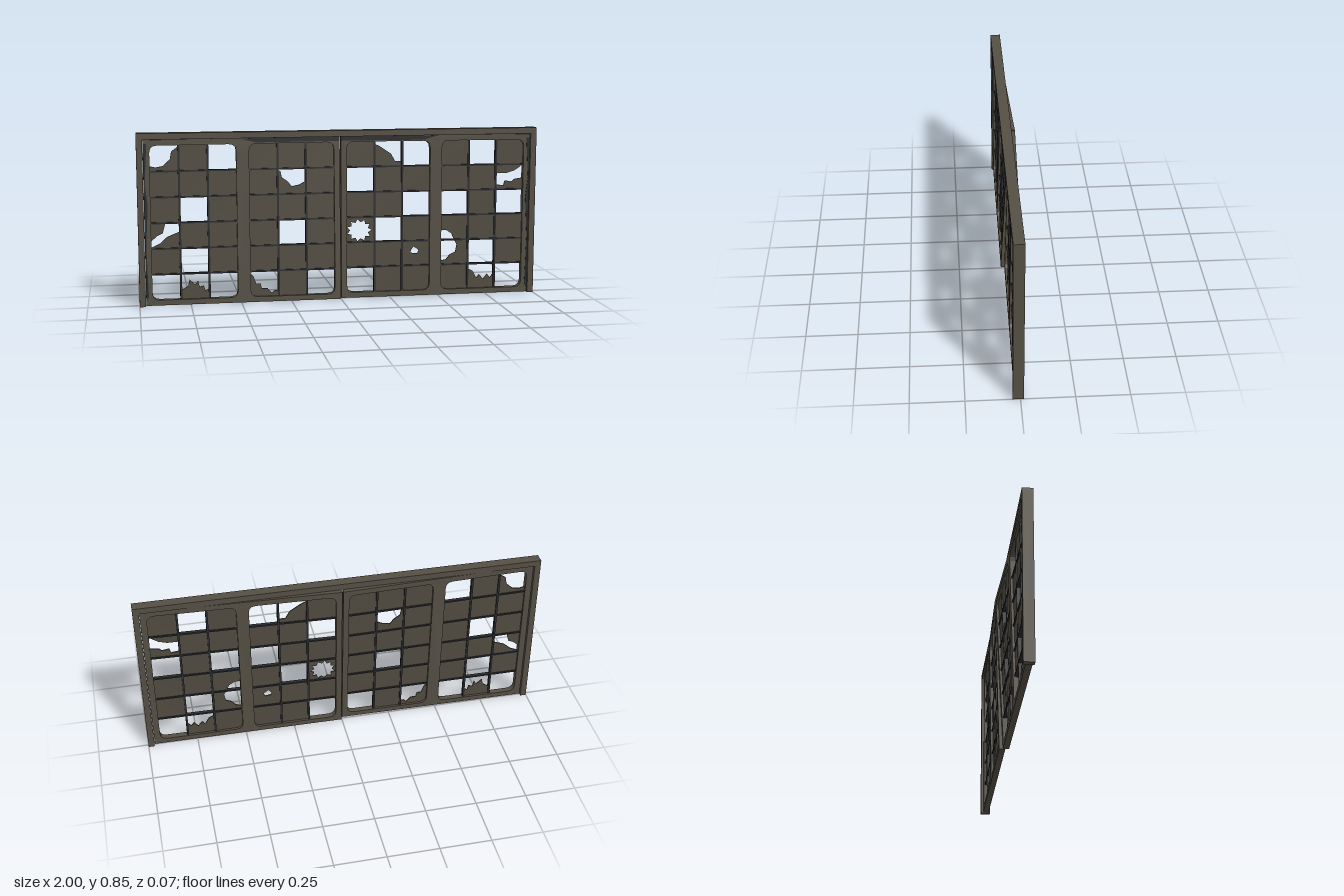
import * as THREE from 'three';

const H = 0.82, W = 0.968;          // door leaf height and width
const COLS = 3, ROWS = 6;
const Y0 = 0.03, Y1 = 0.79;         // window bottom and top
const WINDOWS = {                   // # whole pane, . missing, letters are broken panes
  A: { x: [-0.937, -0.518], rows: ['a#.', '###', '#.#', 'b##', '#.#', '.c.'] },
  B: { x: [-0.455, -0.032], rows: ['###', '#d#', '###', '#.#', '###', 'e#.'] },
  C: { x: [0.032, 0.455], rows: ['#f.', '.##', '##.', 'g.#', '##h', '.##'] },
  D: { x: [0.515, 0.937], rows: ['#.#', '##i', '.#.', 'j##', 'k.#', '#l.'] },
};

// Remaining glass outlines inside a unit pane
const BROKEN = {
  a: [[1, .95, .75, .75, .7, .45, .45, .2, .2, .15, 0, .2, 0, 0, 1, 0]],
  b: [[0, 1, .5, 1, .4, .6, .2, .5, 0, .3], [0, .05, .3, .2, .55, .45, 1, .65, 1, 0, 0, 0]],
  c: [[0, 0, 1, 0, .95, .35, .85, .3, .8, .5, .65, .45, .6, .7, .5, .55, .3, .75, .25, .5, .1, .4, 0, .3]],
  d: [[0, 0, 1, 0, 1, .5, .75, .35, .5, .3, .35, .5, .15, .65, .1, .9, 0, .95]],
  e: [[0, 0, 1, 0, 1, .2, .85, .2, .75, .1, .6, .3, .4, .3, .35, .5, .2, .5, .1, .8, 0, .9]],
  f: [[0, 0, 1, 0, .95, .2, .75, .2, .6, .5, .4, .65, .2, .8, 0, .9]],
  i: [[0, 1, 1, 1, .9, .9, .7, .75, .4, .65, 0, .65], [0, 0, 1, 0, 1, .45, .7, .4, .6, .3, .35, .35, .3, .15, 0, .2]],
  j: [[0, 1, 1, 1, 1, 0, .5, 0, .4, .25, .2, .4, 0, .4]],
  k: [[1, 1, 1, 0, 0, 0, 0, .15, .2, .2, .35, .4, .55, .5, .6, .8, .5, 1]],
  l: [[0, 0, 1, 0, 1, .6, .85, .4, .75, .55, .6, .35, .45, .55, .35, .4, .2, .7, 0, .8]],
};
// Holes knocked through otherwise whole panes: centre u, v, radius, points
const HOLES = { g: [.46, .47, .42, 22], h: [.46, .6, .15, 7] };

export function createModel() {
  const model = new THREE.Group();
  const mat = (name, color) => Object.assign(new THREE.MeshStandardMaterial({ color }), { name });
  const metal = mat('weathered metal', 0x554f44);
  const glass = mat('grimy pane', 0x514b40);
  const dark = mat('dark trim', 0x2a2b2e);

  // Doors sag: the meeting edges lean back at the top, less so or forward at the bottom
  function warp(geo) {
    const p = geo.attributes.position;
    for (let i = 0; i < p.count; i++) {
      const x = p.getX(i), t = p.getY(i) / H, inner = 1 - Math.abs(x) / W;
      const low = x < 0 ? 0.008 : -0.01;
      p.setZ(i, p.getZ(i) + 0.012 + inner * (low + (-0.033 - low) * t));
    }
    geo.computeVertexNormals();
    return geo;
  }

  function add(parent, name, geo, material) {
    const mesh = new THREE.Mesh(geo, material);
    mesh.name = name;
    parent.add(mesh);
    return mesh;
  }

  function box(x0, x1, y0, y1, z0, z1) {
    return new THREE.BoxGeometry(x1 - x0, y1 - y0, z1 - z0)
      .translate((x0 + x1) / 2, (y0 + y1) / 2, (z0 + z1) / 2);
  }

  function plate(shape, depth, z = 0) {
    return new THREE.ExtrudeGeometry(shape, { depth, bevelEnabled: false, curveSegments: 3 })
      .translate(0, 0, z - depth / 2);
  }

  function roundedRect(x0, x1, y0, y1, r) {
    const s = new THREE.Path();
    s.moveTo(x0 + r, y0);
    s.lineTo(x1 - r, y0).quadraticCurveTo(x1, y0, x1, y0 + r);
    s.lineTo(x1, y1 - r).quadraticCurveTo(x1, y1, x1 - r, y1);
    s.lineTo(x0 + r, y1).quadraticCurveTo(x0, y1, x0, y1 - r);
    s.lineTo(x0, y0 + r).quadraticCurveTo(x0, y0, x0 + r, y0);
    return s;
  }

  // Outline given as u, v pairs, scaled into a pane
  function outline(uv, x, y, w, h) {
    const pts = [];
    for (let i = 0; i < uv.length; i += 2) pts.push(new THREE.Vector2(x + uv[i] * w, y + uv[i + 1] * h));
    return new THREE.Shape(pts);
  }

  function paneShapes(code, x, y, w, h) {
    if (code === '.') return [];
    if (BROKEN[code]) return BROKEN[code].map(uv => outline(uv, x, y, w, h));
    const shape = outline([0, 0, 1, 0, 1, 1, 0, 1], x, y, w, h);
    if (HOLES[code]) {
      const [u, v, r, n] = HOLES[code], uv = [];
      for (let i = 0; i < n; i++) {
        const a = i / n * Math.PI * 2, k = r * (i % 2 ? 0.78 : 1.08);
        uv.push(u + Math.cos(a) * k, v + Math.sin(a) * k);
      }
      shape.holes.push(outline(uv, x, y, w, h));
    }
    return [shape];
  }

  // Surround: two posts and a header
  const surround = new THREE.Group();
  surround.name = 'surround';
  model.add(surround);
  add(surround, 'header', box(-1, 1, H, 0.85, -0.016, 0.035), metal);
  for (const s of [-1, 1]) {
    add(surround, s > 0 ? 'leftPost' : 'rightPost', box(s * 0.985 - 0.015, s * 0.985 + 0.015, 0, H, -0.016, 0.035), metal);
  }

  // Two door leaves, each with two glazed windows
  for (const s of [-1, 1]) {
    const leaf = new THREE.Group();
    leaf.name = s > 0 ? 'leftDoor' : 'rightDoor';
    model.add(leaf);

    const inner = s * 0.003, outer = s * W;
    const body = outline([inner, 0.004, outer, 0.004, outer, H - 0.002, inner, H - 0.002], 0, 0, 1, 1);
    const windows = s > 0 ? [WINDOWS.C, WINDOWS.D] : [WINDOWS.A, WINDOWS.B];
    for (const w of windows) body.holes.push(roundedRect(w.x[0], w.x[1], Y0, Y1, 0.035));
    add(leaf, 'doorPanel', warp(plate(body, 0.03)), metal);

    // Dark edging along the top and the hinge side
    const top = outline([s * 0.004, 0.796, s * 0.42, 0.796, s * 0.5, 0.817, s * 0.004, 0.817], 0, 0, 1, 1);
    add(leaf, 'topEdging', warp(plate(top, 0.003, 0.0155)), dark);
    const side = outline([outer, 0.02, s * 0.955, 0.05, s * 0.962, 0.3, s * 0.95, 0.5, s * 0.962, 0.6, s * 0.95, 0.8, outer, 0.8], 0, 0, 1, 1);
    add(leaf, 'hingeEdging', warp(plate(side, 0.003, 0.0155)), dark);

    for (const w of windows) {
      const glazing = new THREE.Group();
      glazing.name = 'window';
      leaf.add(glazing);
      const [x0, x1] = w.x, cw = (x1 - x0) / COLS, ch = (Y1 - Y0) / ROWS;

      // Glazing bars
      for (let c = 1; c < COLS; c++) {
        const x = x0 + c * cw;
        add(glazing, 'verticalBar', warp(box(x - 0.005, x + 0.005, Y0, Y1, -0.009, 0.009)), dark);
      }
      for (let r = 1; r < ROWS; r++) {
        const y = Y0 + r * ch;
        add(glazing, 'horizontalBar', warp(box(x0, x1, y - 0.004, y + 0.004, -0.009, 0.009)), dark);
      }

      // Panes, whole and broken
      w.rows.forEach((row, r) => [...row].forEach((code, c) => {
        for (const shape of paneShapes(code, x0 + c * cw, Y1 - (r + 1) * ch, cw, ch)) {
          add(glazing, 'pane', warp(plate(shape, 0.006)), glass);
        }
      }));
    }
  }
  return model;
}
